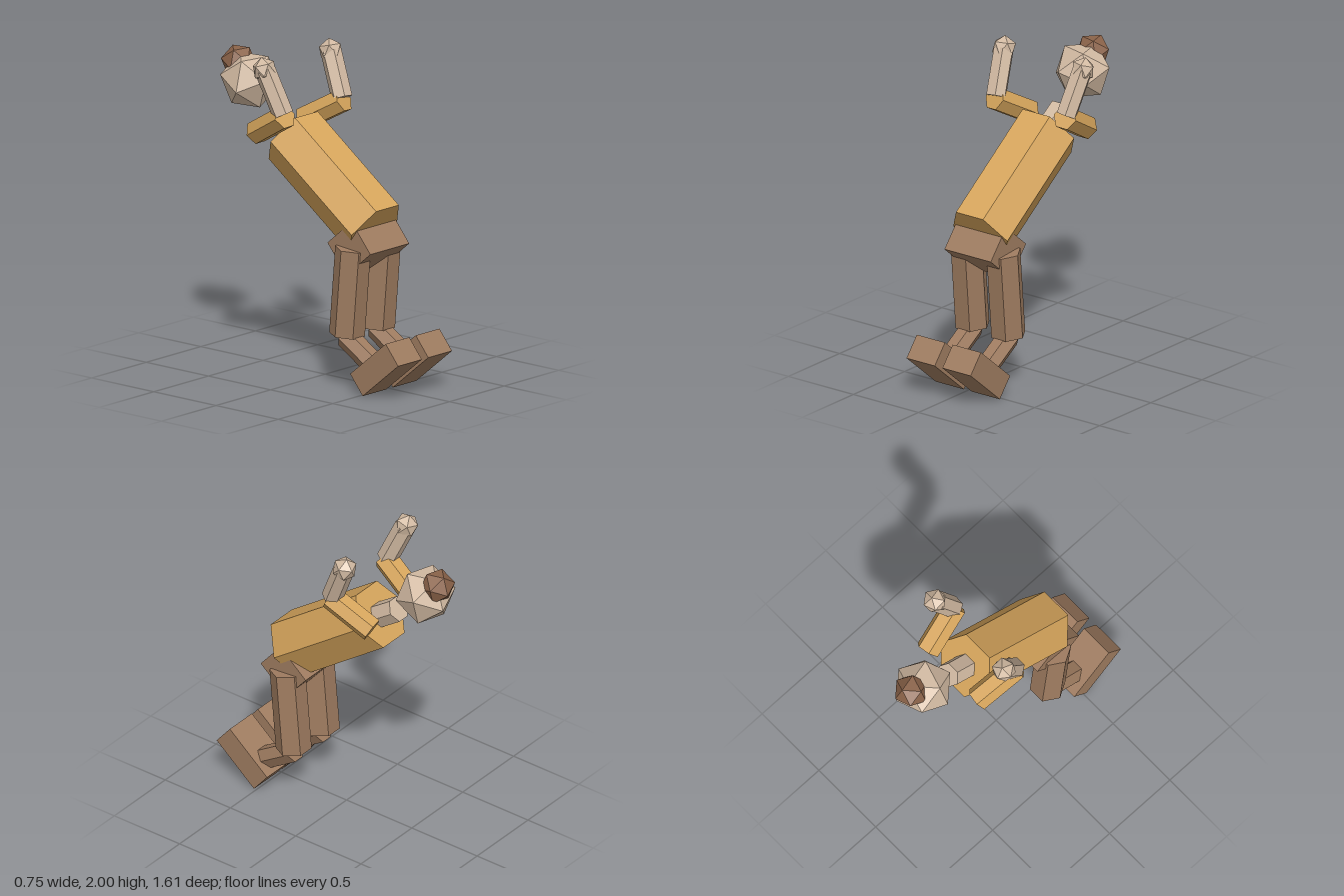
import * as THREE from 'three';

const makeMat = (name, color) => {
  const m = new THREE.MeshStandardMaterial({ color, flatShading: true });
  m.name = name;
  return m;
};
const V = (x, y, z) => new THREE.Vector3(x, y, z);

// Rotation whose first axis follows a and whose second leans towards b
function frame(a, b) {
  const x = a.clone().normalize();
  const y = b.clone().addScaledVector(x, -b.dot(x)).normalize();
  return new THREE.Matrix4().makeBasis(x, y, x.clone().cross(y));
}

export function createModel() {
  const shirt = makeMat('ochre shirt', 0xd6a55c);
  const skin = makeMat('pale skin', 0xd2baa2);
  const trousers = makeMat('brown trousers', 0x9f7c60);
  const hair = makeMat('brown hair', 0x8b6349);

  const model = new THREE.Group();
  model.name = 'leaningFigure';

  const add = (name, geometry, material, position) => {
    const mesh = new THREE.Mesh(geometry, material);
    mesh.name = name;
    mesh.position.copy(position);
    model.add(mesh);
    return mesh;
  };

  // Six-sided limb from a to b, with two of its edges facing sideways
  const limb = (name, a, b, radius, material) => {
    const dir = b.clone().sub(a);
    const g = new THREE.CylinderGeometry(radius, radius, dir.length(), 6).rotateY(Math.PI / 6);
    const mesh = add(name, g, material, a.clone().lerp(b, 0.5));
    const m = frame(dir, V(1, 0, 0)); // columns: length, side, normal
    const y = V(0, 0, 0), x = V(0, 0, 0), n = V(0, 0, 0);
    m.extractBasis(y, x, n);
    mesh.quaternion.setFromRotationMatrix(
      new THREE.Matrix4().makeBasis(x, y, n.negate()));
    return mesh;
  };

  // Icosahedron with neighbouring corners pointing along a and b
  const ball = (name, position, radius, material, a, b) => {
    const mesh = add(name, new THREE.IcosahedronGeometry(radius, 0), material, position);
    const t = (1 + Math.sqrt(5)) / 2;
    const local = frame(V(0, 1, t), V(0, -1, t)).transpose();
    mesh.quaternion.setFromRotationMatrix(frame(a, b).multiply(local));
    return mesh;
  };

  // Box tipped backwards
  const tiltedBox = (name, w, h, d, position, tilt) => {
    const mesh = add(name, new THREE.BoxGeometry(w, h, d), trousers, position);
    mesh.rotation.x = -THREE.MathUtils.degToRad(tilt);
    return mesh;
  };

  // Torso, neck and head
  limb('torso', V(0, 0.98, 0.395), V(0, 1.453, -0.257), 0.208, shirt);
  limb('neck', V(0, 1.44, -0.24), V(0, 1.55, -0.398), 0.08, skin);
  const cornerA = V(-10, 5, 33), cornerB = V(25.5, -7, 23.5);
  ball('head', V(0, 1.74, -0.605), 0.184, skin, cornerA, cornerB);
  ball('hairBun', V(0.005, 1.838, -0.7), 0.109, hair, cornerA, cornerB);

  // Pelvis
  tiltedBox('pelvis', 0.356, 0.234, 0.254, V(0, 0.883, 0.347), 40);

  // Arms and legs on both sides
  for (const [side, s] of [['left', 1], ['right', -1]]) {
    const p = (x, y, z) => V(s * x, y, z);
    limb(side + 'UpperArm', p(0.217, 1.495, -0.363), p(0.27, 1.65, -0.087), 0.077, shirt);
    limb(side + 'Forearm', p(0.27, 1.66, -0.102), p(0.302, 1.925, -0.218), 0.066, skin);
    ball(side + 'Hand', p(0.304, 1.928, -0.222), 0.077, skin,
      p(0.02, 0.26, -0.07), p(0.1, 0.1, 0.25));

    limb(side + 'Thigh', p(0.138, 0.333, 0.297), p(0.138, 0.88, 0.345), 0.11, trousers);
    limb(side + 'Shin', p(0.138, 0.135, 0.585), p(0.138, 0.318, 0.292), 0.072, trousers);
    tiltedBox(side + 'Foot', 0.217, 0.158, 0.37, p(0.138, 0.183, 0.61), 39.5);
  }

  return model;
}
